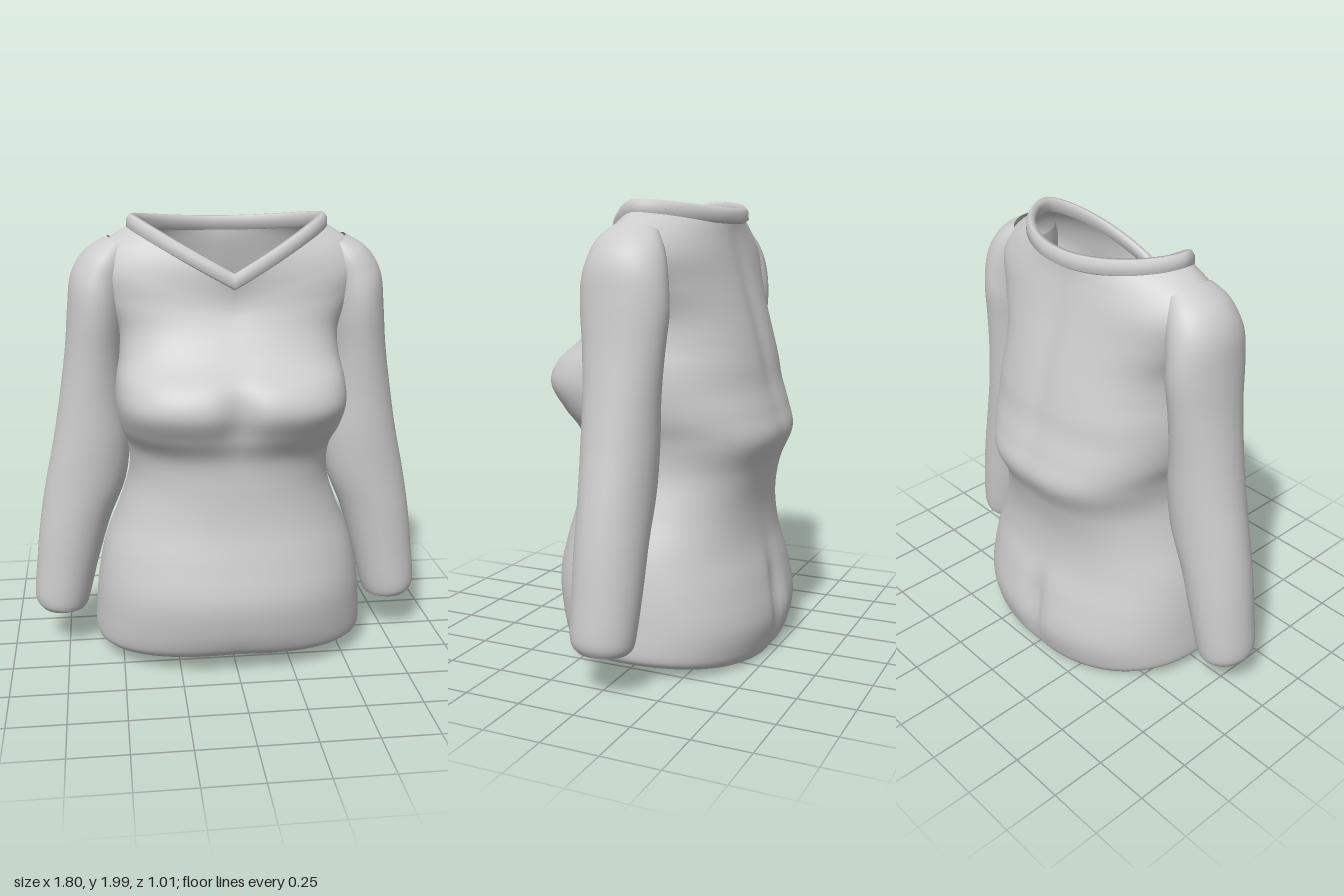
import * as THREE from 'three';

const SEG = 96;

// Catmull-Rom through rows of numbers, t in 0..1
function sampleRows(rows, t) {
  const f = t * (rows.length - 1);
  const i = Math.min(Math.floor(f), rows.length - 2);
  const u = f - i;
  const at = (k) => rows[Math.max(0, Math.min(rows.length - 1, k))];
  const [a, b, c, d] = [at(i - 1), at(i), at(i + 1), at(i + 2)];
  return b.map((p, k) => p + 0.5 * u * (c[k] - a[k]
    + u * (2 * a[k] - 5 * p + 4 * c[k] - d[k]
    + u * (3 * (p - c[k]) + d[k] - a[k]))));
}

// Skin over closed rings; point(row, angle) gives [x, y, z]
function loft(rows, cols, point, { flip = false, closeRows = false } = {}) {
  const pos = [], idx = [];
  for (let i = 0; i < rows; i++)
    for (let j = 0; j < cols; j++) pos.push(...point(i, (j / cols) * Math.PI * 2));
  for (let i = 0; i < (closeRows ? rows : rows - 1); i++) {
    for (let j = 0; j < cols; j++) {
      const n = (i + 1) % rows, k = (j + 1) % cols;
      const a = i * cols + j, b = n * cols + j, c = n * cols + k, d = i * cols + k;
      if (flip) idx.push(a, d, b, b, d, c);
      else idx.push(a, b, d, b, c, d);
    }
  }
  const g = new THREE.BufferGeometry();
  g.setAttribute('position', new THREE.Float32BufferAttribute(pos, 3));
  g.setIndex(idx);
  g.computeVertexNormals();
  return g;
}

const bump = (v, centre, width) => Math.exp(-(((v - centre) / width) ** 2));

// Torso levels: side y, front y, back y, half width, front z, back z, front squareness, back squareness
const TORSO = [
  [0.06, 0.09, 0.00, 0.595, 0.40, -0.46, 2.3, 2.3],
  [0.10, 0.13, 0.05, 0.62, 0.44, -0.485, 2.3, 2.3],
  [0.22, 0.22, 0.18, 0.615, 0.475, -0.51, 2.3, 2.3],
  [0.36, 0.36, 0.36, 0.60, 0.49, -0.475, 2.3, 2.3],
  [0.52, 0.52, 0.52, 0.565, 0.455, -0.43, 2.3, 2.3],
  [0.68, 0.68, 0.68, 0.50, 0.415, -0.42, 2.3, 2.4],
  [0.84, 0.84, 0.84, 0.45, 0.40, -0.45, 2.3, 2.5],
  [0.98, 0.98, 0.98, 0.455, 0.405, -0.505, 2.4, 2.6],
  [1.09, 1.09, 1.09, 0.49, 0.46, -0.48, 2.9, 2.5],
  [1.20, 1.20, 1.20, 0.505, 0.51, -0.445, 3.3, 2.4],
  [1.30, 1.30, 1.30, 0.50, 0.475, -0.425, 3.1, 2.4],
  [1.40, 1.40, 1.40, 0.485, 0.365, -0.40, 2.7, 2.4],
  [1.51, 1.50, 1.52, 0.49, 0.29, -0.365, 2.5, 2.4],
  [1.64, 1.57, 1.65, 0.55, 0.25, -0.325, 2.3, 2.3],
  [1.77, 1.62, 1.76, 0.595, 0.235, -0.295, 2.1, 2.2],
  [1.87, 1.67, 1.85, 0.535, 0.235, -0.275, 1.9, 2.0],
  [1.95, 1.72, 1.915, 0.41, 0.245, -0.27, 1.6, 1.8],
];

function torsoPoint(t, a) {
  const [yS, yF, yB, w, zF, zB, nF, nB] = sampleRows(TORSO, t);
  const c = Math.cos(a), s = Math.sin(a), front = s > 0;
  const n = front ? nF : nB;
  const r = (Math.abs(c) ** n + Math.abs(s) ** n) ** (-1 / n);
  const x = w * r * c, q = Math.min(1, Math.abs(x / w));
  const y = front ? yS + (yF - yS) * (1 - q) : yS + (yB - yS) * (1 - q * q);
  let z = r * Math.abs(s) * (front ? zF : zB);
  // soft hollows at the chest, the seat and the spine
  if (front) z -= 0.045 * bump(x, 0, 0.08) * bump(y, 1.2, 0.13) * s;
  else z -= s * (0.04 * bump(x, 0, 0.05) * bump(y, 0.24, 0.17)
    + 0.012 * bump(x, 0, 0.06) * bump(y, 1.45, 0.4));
  return [x, y, z];
}

// Sleeve levels: inner x, outer x, inner y, outer y, front z, back z
const SLEEVE = [
  [0.685, 0.875, 0.18, 0.19, 0.09, -0.125],
  [0.655, 0.90, 0.21, 0.25, 0.12, -0.15],
  [0.60, 0.885, 0.42, 0.42, 0.125, -0.165],
  [0.54, 0.862, 0.62, 0.61, 0.13, -0.17],
  [0.465, 0.828, 0.81, 0.80, 0.135, -0.175],
  [0.445, 0.785, 1.00, 1.00, 0.14, -0.18],
  [0.455, 0.75, 1.20, 1.20, 0.14, -0.185],
  [0.46, 0.72, 1.38, 1.40, 0.15, -0.20],
  [0.455, 0.703, 1.50, 1.58, 0.165, -0.215],
  [0.45, 0.688, 1.58, 1.71, 0.165, -0.21],
  [0.44, 0.655, 1.67, 1.79, 0.15, -0.195],
  [0.43, 0.60, 1.75, 1.85, 0.13, -0.17],
  [0.425, 0.52, 1.82, 1.895, 0.09, -0.13],
];

function sleevePoint(t, a, side) {
  const [xi, xo, yi, yo, zF, zB] = sampleRows(SLEEVE, t);
  const k = (Math.cos(a) + 1) / 2;
  const x = xi + (xo - xi) * k, y = yi + (yo - yi) * k;
  return [side * x, y, (zF + zB) / 2 + Math.sin(a) * (zF - zB) / 2];
}

// Collar band section: outward offset and height above the neckline
const BAND = [[0.012, -0.03], [0.028, -0.018], [0.026, 0.018], [0.012, 0.038],
  [-0.008, 0.036], [-0.012, 0.01], [-0.004, -0.024]];

function collarPoint(i, a) {
  const [x, y, z] = torsoPoint(1, a);
  const [out, up] = BAND[i];
  return [x + out * Math.cos(a), y + up, z + out * Math.sin(a)];
}

export function createModel() {
  const model = new THREE.Group();
  model.name = 'sweater';
  const knit = new THREE.MeshStandardMaterial({ color: 0xcccccc, side: THREE.DoubleSide });
  knit.name = 'light grey knit';
  const add = (name, geometry) => {
    const mesh = new THREE.Mesh(geometry, knit);
    mesh.name = name;
    model.add(mesh);
  };

  // Body, open at hem and neck
  add('torso', loft(97, SEG, (i, a) => torsoPoint(i / 96, a)));

  // Sleeves, open at the wrists
  for (const side of [1, -1])
    add(side > 0 ? 'leftSleeve' : 'rightSleeve',
      loft(61, 40, (i, a) => sleevePoint(i / 60, a, side), { flip: side < 0 }));

  // V-neck band
  add('collar', loft(BAND.length, SEG, collarPoint, { closeRows: true }));

  return model;
}
